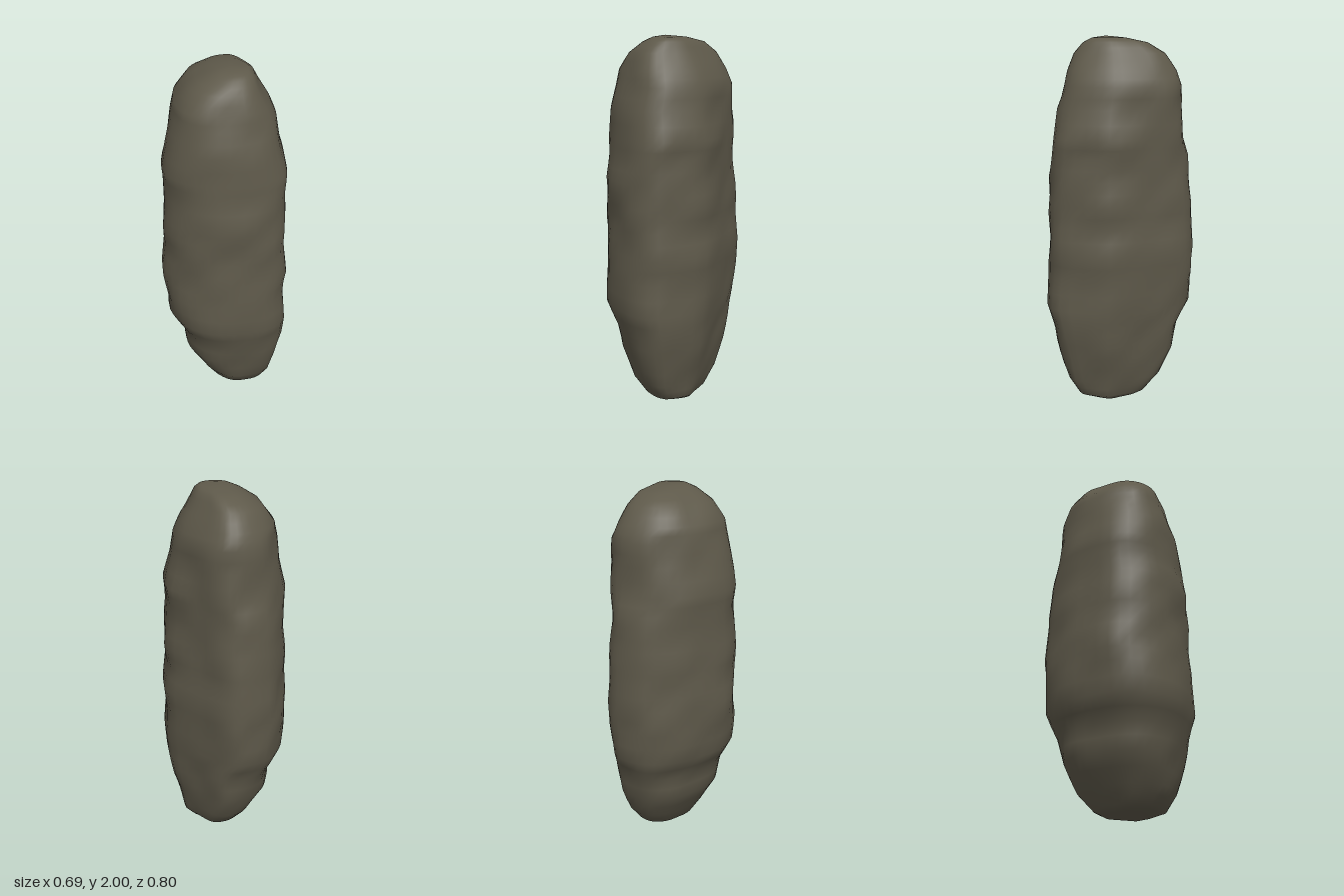
import * as THREE from 'three';

// Outline per height: y, x min, x max, z min, z max
const ROWS = [
  [0.015, -0.03, 0.20, -0.09, 0.15], [0.04, -0.07, 0.235, -0.14, 0.23],
  [0.13, -0.13, 0.26, -0.22, 0.29], [0.28, -0.22, 0.30, -0.29, 0.33],
  [0.42, -0.24, 0.32, -0.32, 0.36], [0.55, -0.32, 0.33, -0.38, 0.40],
  [0.72, -0.345, 0.325, -0.40, 0.395], [0.86, -0.35, 0.34, -0.40, 0.39],
  [1.00, -0.335, 0.32, -0.39, 0.39], [1.12, -0.34, 0.33, -0.385, 0.39],
  [1.25, -0.325, 0.32, -0.375, 0.39], [1.37, -0.325, 0.32, -0.365, 0.365],
  [1.47, -0.335, 0.33, -0.345, 0.355], [1.62, -0.30, 0.285, -0.335, 0.34],
  [1.74, -0.275, 0.27, -0.33, 0.305], [1.82, -0.26, 0.235, -0.30, 0.285],
  [1.91, -0.19, 0.18, -0.24, 0.25], [1.965, -0.10, 0.15, -0.15, 0.20],
  [1.99, -0.04, 0.12, -0.03, 0.15],
];

// Cross-sections (x, z), each from the front round by the left
const FOOT = [
  [0.1, 1], [0.52, 0.99], [0.85, 0.84], [0.95, 0.51], [1, 0.1], [0.8, -0.25],
  [0.62, -0.51], [0.45, -0.77], [0.27, -0.95], [0.02, -1], [-0.38, -0.97], [-0.65, -0.82],
  [-0.87, -0.54], [-0.96, -0.2], [-1, 0.22], [-0.91, 0.53], [-0.67, 0.79], [-0.34, 0.94],
];
const MIDDLE = [
  [0.1, 1], [0.5, 0.98], [0.82, 0.83], [0.94, 0.51], [1, 0.1], [0.83, -0.25],
  [0.64, -0.52], [0.47, -0.78], [0.28, -0.95], [0.05, -1], [-0.35, -0.93], [-0.58, -0.76],
  [-0.8, -0.48], [-0.91, -0.18], [-1, 0.22], [-0.9, 0.52], [-0.65, 0.77], [-0.33, 0.93],
];
const HEAD = [
  [0.1, 1], [0.49, 0.96], [0.8, 0.78], [0.94, 0.47], [1, 0.1], [0.91, -0.23],
  [0.77, -0.53], [0.61, -0.8], [0.38, -0.96], [0.08, -0.99], [-0.33, -0.9], [-0.6, -0.72],
  [-0.82, -0.45], [-0.93, -0.15], [-1, 0.22], [-0.93, 0.55], [-0.71, 0.81], [-0.35, 0.96],
];

const SIDES = 40;
const STEPS = 2;

// The section changes slightly from foot to middle to head
function outlineAt(y) {
  const foot = 1 - THREE.MathUtils.smoothstep(y, 0.4, 0.75);
  const head = THREE.MathUtils.smoothstep(y, 1.3, 1.75);
  const blend = (i, k) => MIDDLE[i][k]
    + foot * (FOOT[i][k] - MIDDLE[i][k]) + head * (HEAD[i][k] - MIDDLE[i][k]);
  const points = MIDDLE.map((p, i) => new THREE.Vector3(blend(i, 0), 0, blend(i, 1)));
  return new THREE.CatmullRomCurve3(points, true, 'centripetal').getPoints(SIDES).slice(0, SIDES);
}

// Soft worn dents, always pushing inward
function dent(a, y) {
  const n = Math.sin(3 * a + 5 * y) * Math.sin(11 * y + 2 * a)
    + 0.6 * Math.sin(5 * a - 17 * y + 1) * Math.sin(7 * y - 2 * a);
  return 1 - 0.026 * Math.max(0, n + 0.25);
}

function buildRock() {
  const pos = [];
  const index = [];
  let rings = 0;

  // Stack the rings
  for (let r = 0; r < ROWS.length; r++) {
    for (let s = 0; s < (r < ROWS.length - 1 ? STEPS : 1); s++) {
      const next = ROWS[Math.min(r + 1, ROWS.length - 1)];
      const [y, x0, x1, z0, z1] = ROWS[r].map((v, k) => THREE.MathUtils.lerp(v, next[k], s / STEPS));
      outlineAt(y).forEach((p, i) => {
        const d = dent((i / SIDES) * Math.PI * 2, y);
        pos.push((x0 + x1) / 2 + p.x * d * (x1 - x0) / 2, y, (z0 + z1) / 2 + p.z * d * (z1 - z0) / 2);
      });
      rings++;
    }
  }

  // Skin the sides
  for (let r = 0; r < rings - 1; r++) {
    for (let i = 0; i < SIDES; i++) {
      const a = r * SIDES + i;
      const b = r * SIDES + (i + 1) % SIDES;
      index.push(a, b, b + SIDES, a, b + SIDES, a + SIDES);
    }
  }

  // Close both ends
  const bottom = pos.length / 3;
  const top = bottom + 1;
  pos.push(0.15, 0, 0.06, 0.03, 2, 0.08);
  const last = (rings - 1) * SIDES;
  for (let i = 0; i < SIDES; i++) {
    const j = (i + 1) % SIDES;
    index.push(bottom, j, i, top, last + i, last + j);
  }

  const geometry = new THREE.BufferGeometry();
  geometry.setAttribute('position', new THREE.Float32BufferAttribute(pos, 3));
  geometry.setIndex(index);
  geometry.computeVertexNormals();
  return geometry;
}

export function createModel() {
  const group = new THREE.Group();
  group.name = 'standingStone';
  const stone = new THREE.MeshStandardMaterial({ color: 0x5e594a });
  stone.name = 'darkStone';
  const rock = new THREE.Mesh(buildRock(), stone);
  rock.name = 'rock';
  group.add(rock);
  return group;
}
